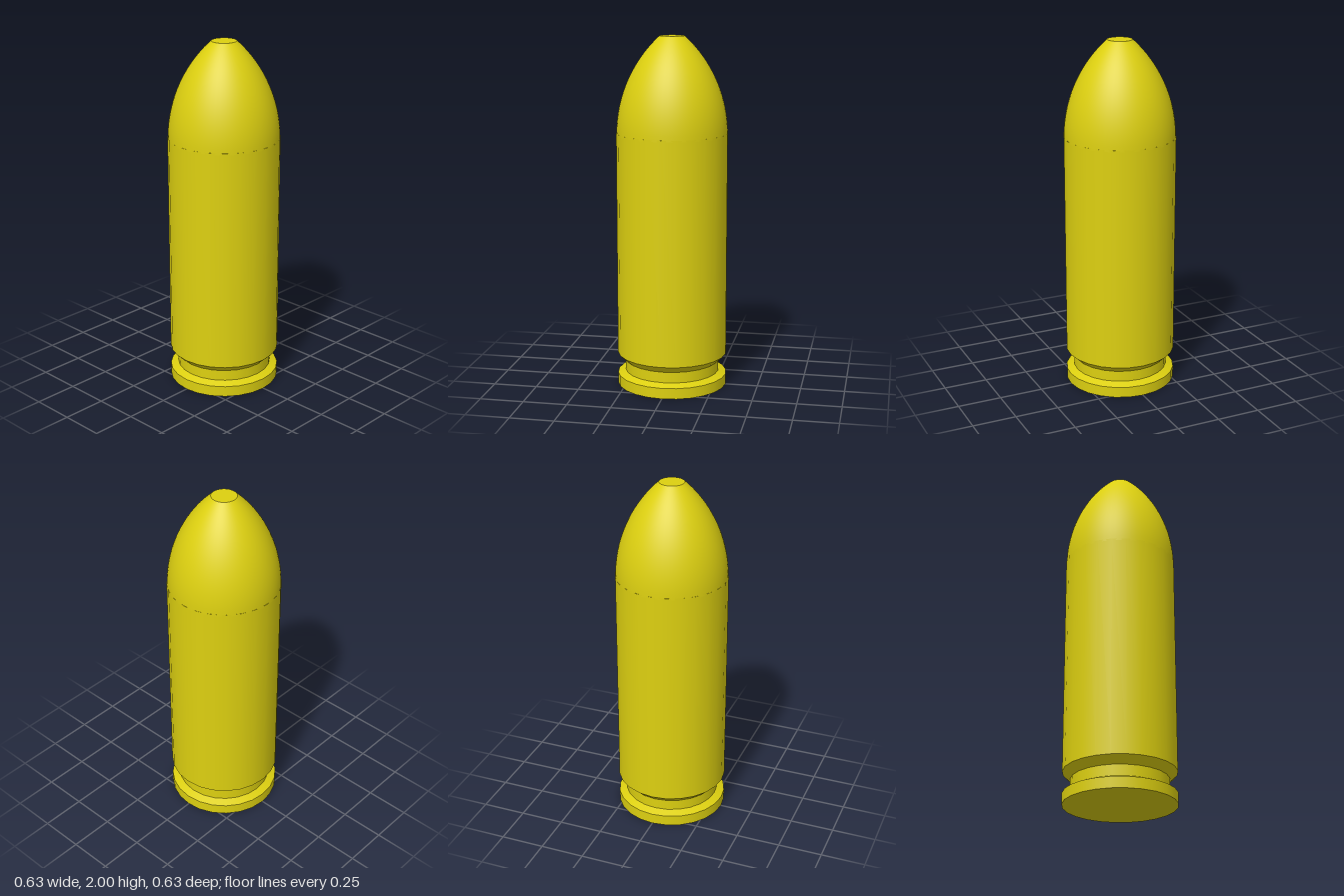
import * as THREE from 'three';

export function createModel() {
  const group = new THREE.Group();
  group.name = 'cartridge';
  const brass = new THREE.MeshStandardMaterial({ color: 0xddd010 });
  brass.name = 'brass';

  // One smooth band of revolution; points run from bottom to top
  const band = (name, points, sides) => {
    const profile = points.map(([r, y]) => new THREE.Vector2(r, y));
    const mesh = new THREE.Mesh(new THREE.LatheGeometry(profile, sides), brass);
    mesh.name = name;
    group.add(mesh);
  };

  // Case: separate bands keep the edges between them sharp
  const R = 0.314, G = 0.27, caseTop = 1.46;
  const sides = 24;
  band('base', [[0, 0], [R, 0]], sides);
  band('rim', [[R, 0], [R, 0.062]], sides);
  band('rimBevel', [[R, 0.062], [G, 0.08]], sides);
  band('extractorGroove', [[G, 0.08], [G, 0.142]], sides);
  band('grooveChamfer', [[G, 0.142], [R, 0.184]], sides);
  band('caseWall', [[R, 0.184], [R, caseTop]], sides);
  band('caseMouth', [[R, caseTop], [0.29, caseTop]], sides);

  // Bullet: circular-arc ogive ending in a small flat tip
  const bulletR = 0.312, tipR = 0.07, arcStart = 1.45;
  const height = 2 - arcStart, drop = bulletR - tipR;
  const arcR = (height * height + drop * drop) / (2 * drop);
  const ogive = [];
  for (let i = 0; i <= 20; i++) {
    const a = Math.asin(height / arcR) * i / 20;
    ogive.push([bulletR - arcR * (1 - Math.cos(a)), arcStart + arcR * Math.sin(a)]);
  }
  band('bulletNose', ogive, 64);
  band('bulletTip', [[tipR, 2], [0, 2]], 64);

  return group;
}
